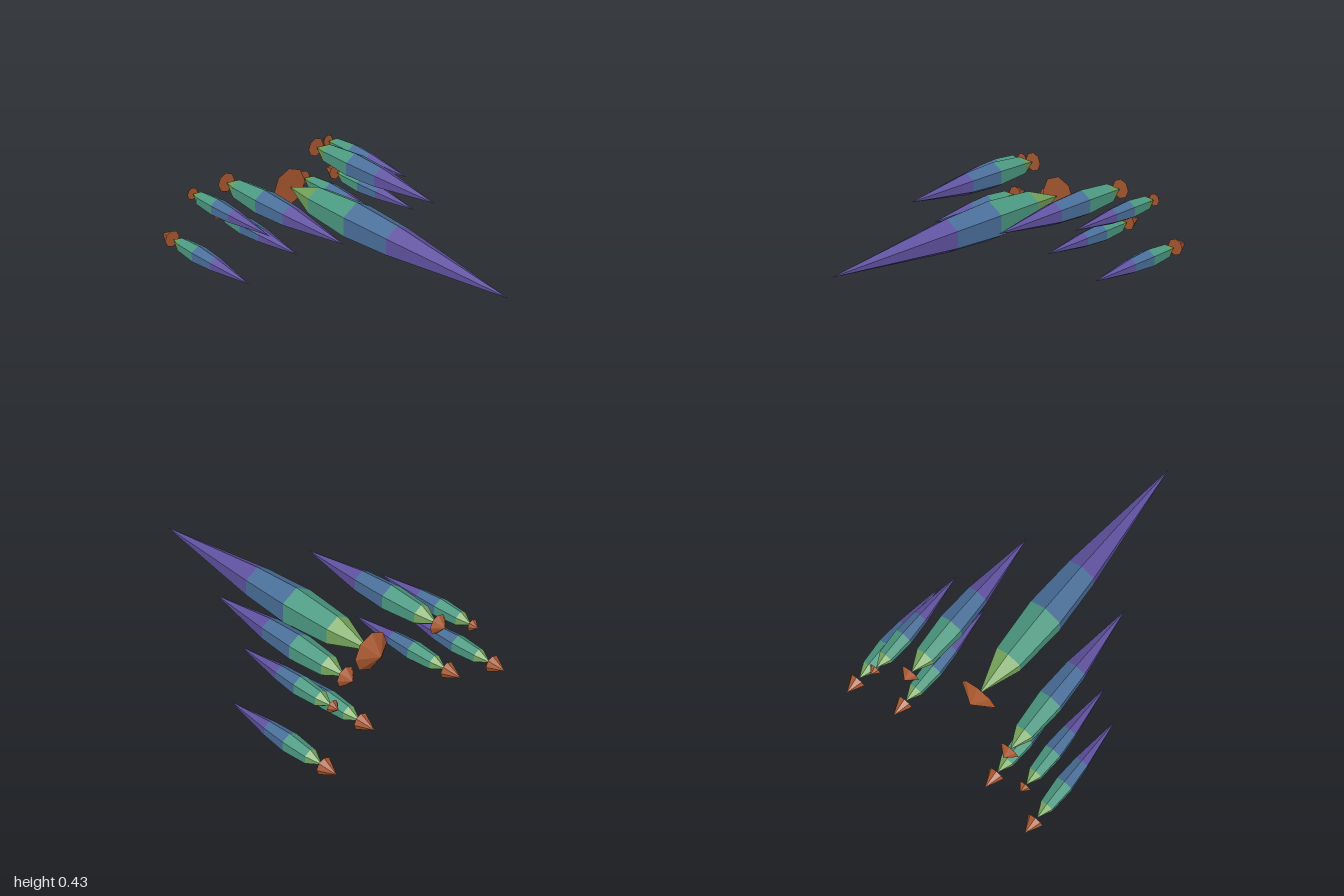
import * as THREE from 'three';

const paint = (color) => new THREE.MeshStandardMaterial({ color, flatShading: true });

// Hull bands from nose to tail, plus the exhaust
const BANDS = [
  ['nose', paint(0x6052a0)],
  ['foreHull', paint(0x4a6f9a)],
  ['aftHull', paint(0x4c9a82)],
  ['tail', paint(0x76a55c)],
];
const EXHAUST = paint(0xa8582f);

// z: nose tip, three rings, tail tip; r: ring radii; flame: [base z, tip z, radius]
const LEAD = { name: 'leadShip', x: 0, y: 0.274, z: [1, 0.23, -0.075, -0.38, -0.615],
  r: [0, 0.094, 0.112, 0.088, 0], flame: [-0.62, -0.69, 0.112] };
const WINGMEN = [
  { name: 'upperInnerShip', x: 0.323, y: 0.36, z: [0.18, -0.23, -0.44, -0.65, -0.76],
    r: [0, 0.064, 0.076, 0.058, 0], flame: [-0.765, -0.815, 0.056] },
  { name: 'upperOuterShip', x: 0.49, y: 0.318, z: [-0.2, -0.495, -0.63, -0.77, -0.845],
    r: [0, 0.043, 0.053, 0.042, 0], flame: [-0.85, -0.89, 0.035] },
  { name: 'lowerInnerShip', x: 0.306, y: 0.136, z: [-0.2, -0.485, -0.63, -0.775, -0.855],
    r: [0, 0.043, 0.054, 0.042, 0], flame: [-0.86, -0.955, 0.046] },
  { name: 'lowerOuterShip', x: 0.6, y: 0.057, z: [-0.245, -0.53, -0.675, -0.82, -0.9],
    r: [0, 0.043, 0.054, 0.042, 0], flame: [-0.912, -1, 0.048] },
];

// Tapered faceted section lying along z, from the front ring to the back ring
function section(name, z0, r0, z1, r1, sides, open, material) {
  const geometry = new THREE.CylinderGeometry(r0, r1, z0 - z1, sides, 1, open);
  geometry.rotateX(Math.PI / 2);
  const mesh = new THREE.Mesh(geometry, material);
  mesh.name = name;
  mesh.position.z = (z0 + z1) / 2;
  return mesh;
}

function buildShip({ name, x, y, z, r, flame }, side = 1) {
  const ship = new THREE.Group();
  ship.name = name;
  // Six-sided spindle hull
  BANDS.forEach(([band, material], i) =>
    ship.add(section(band, z[i], r[i], z[i + 1], r[i + 1], 6, true, material)));
  // Eight-sided exhaust cone floating behind the tail
  const [base, tip, radius] = flame;
  ship.add(section('exhaust', base, radius, tip, 0, 8, false, EXHAUST));
  ship.position.set(x * side, y, 0);
  return ship;
}

export function createModel() {
  const fleet = new THREE.Group();
  fleet.name = 'fleet';
  fleet.add(buildShip(LEAD));
  // Mirrored wingmen on both sides
  for (const [label, side] of [['left', 1], ['right', -1]]) {
    for (const spec of WINGMEN) {
      const ship = buildShip(spec, side);
      ship.name = label + spec.name[0].toUpperCase() + spec.name.slice(1);
      fleet.add(ship);
    }
  }
  return fleet;
}
